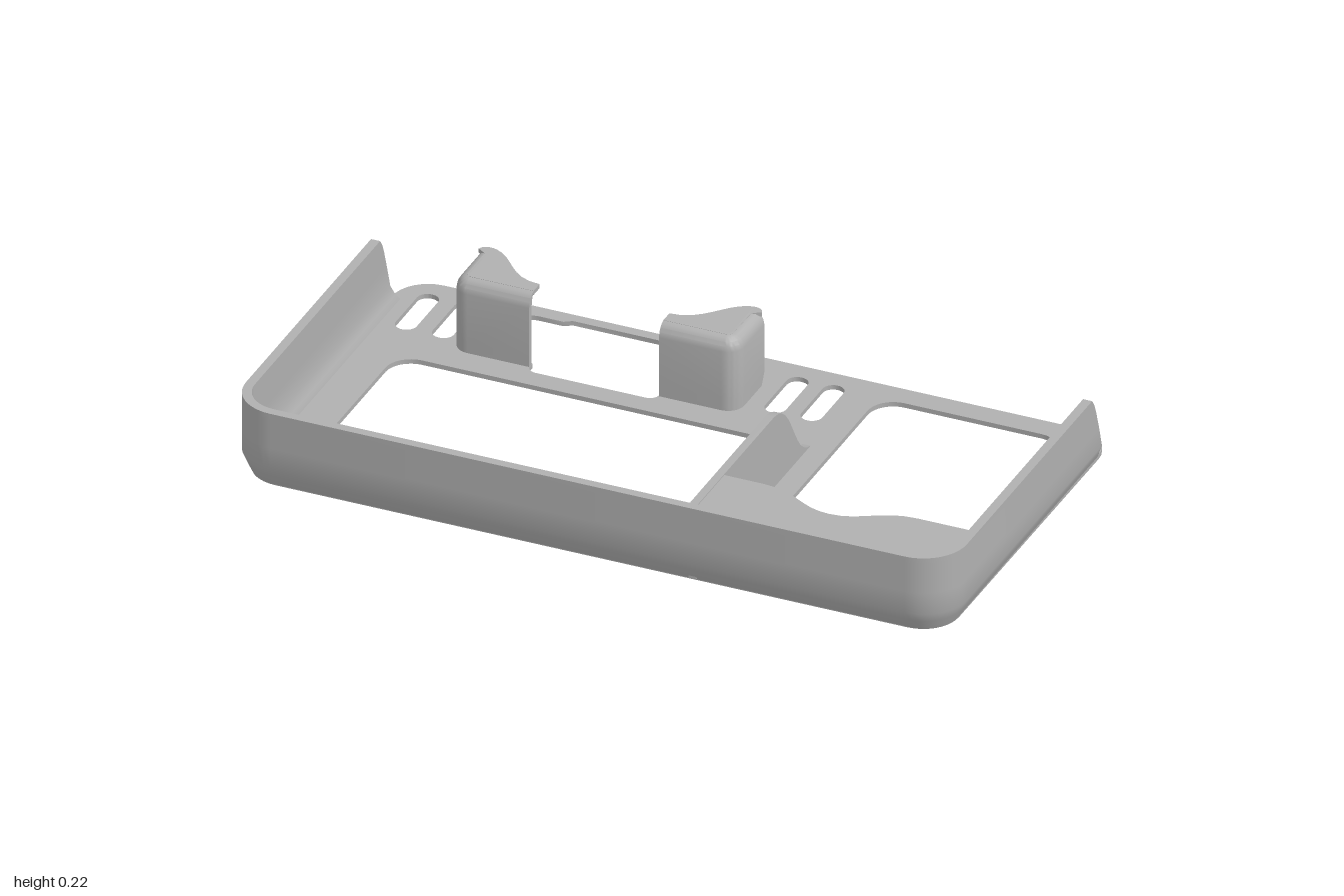
import * as THREE from 'three';
import { toCreasedNormals } from 'three/addons/utils/BufferGeometryUtils.js';

const grey = new THREE.MeshStandardMaterial({ color: 0xb0b0b0 });
grey.name = 'plain grey';

// closed outline with rounded corners; each point is [x, y, radius]
function rounded(points, Type = THREE.Shape) {
  const path = new Type();
  points.forEach(([x, y, r = 0], i) => {
    const p = new THREE.Vector2(x, y);
    const toward = (q, d) => new THREE.Vector2(q[0], q[1]).sub(p).setLength(d).add(p);
    const prev = points[(i + points.length - 1) % points.length];
    const next = points[(i + 1) % points.length];
    const a = toward(prev, r), b = toward(next, r);
    if (i === 0) path.moveTo(a.x, a.y); else path.lineTo(a.x, a.y);
    if (r > 0) {
      const c = toward(prev, r * 0.45), d = toward(next, r * 0.45);
      path.bezierCurveTo(c.x, c.y, d.x, d.y, b.x, b.y);
    }
  });
  path.closePath();
  return path;
}
const rect = (x0, x1, z0, z1, r, Type) =>
  rounded([[x0, z0, r], [x1, z0, r], [x1, z1, r], [x0, z1, r]], Type);

function mesh(name, geometry) {
  const m = new THREE.Mesh(geometry, grey);
  m.name = name;
  return m;
}

// horizontal plate from an x/z outline
function slab(shape, top, depth) {
  const g = new THREE.ExtrudeGeometry(shape, { depth, bevelEnabled: false, curveSegments: 8 });
  g.rotateX(Math.PI / 2).translate(0, top, 0);
  return toCreasedNormals(g, 0.6);
}

// quarter turn of stations [x, z, normalX, normalZ] about a corner centre
function corner(cx, cz, r, from, to) {
  return Array.from({ length: 11 }, (_, i) => {
    const a = from + (to - from) * i / 10;
    return [cx + r * Math.cos(a), cz + r * Math.sin(a), Math.cos(a), Math.sin(a)];
  });
}

// upright wall along stations; rows are [y, outer inset, inner inset, z at open end]
function wall(stations, rows, shapedEnds) {
  const last = stations.length - 1, n = rows.length, pos = [];
  const loops = stations.map(([x, z, nx, nz], i) => {
    const at = (row, inset) =>
      [x - nx * inset, row[0], shapedEnds.includes(i) ? row[3] : z - nz * inset];
    return [...rows.map(r => at(r, r[1])), ...[...rows].reverse().map(r => at(r, r[2]))];
  });
  const quad = (a, b, c, d) => pos.push(...a, ...b, ...c, ...a, ...c, ...d);
  for (let i = 0; i < last; i++)
    for (let j = 0; j < 2 * n; j++) {
      const k = (j + 1) % (2 * n);
      quad(loops[i][j], loops[i][k], loops[i + 1][k], loops[i + 1][j]);
    }
  for (let j = 0; j < n - 1; j++) {
    const cap = l => [l[j], l[2 * n - 1 - j], l[2 * n - 2 - j], l[j + 1]];
    quad(...cap(loops[0]));
    quad(...cap(loops[last]).reverse());
  }
  const g = new THREE.BufferGeometry();
  g.setAttribute('position', new THREE.Float32BufferAttribute(pos, 3));
  return toCreasedNormals(g, 0.6);
}

export function createModel() {
  const group = new THREE.Group();

  // base plate with windows, clip cut-out and strap slots
  const base = rounded([[-0.98, -0.545, 0.1], [0.98, -0.545, 0.1], [0.976, 0.521, 0.1], [-0.976, 0.521, 0.1]]);
  base.holes.push(
    rect(-0.85, 0.2, -0.18, 0.43, 0.07, THREE.Path),
    rect(0.355, 0.875, -0.48, 0.43, 0.07, THREE.Path),
    rounded([
      [-0.655, -0.502, 0.06], [-0.53, -0.502, 0], [-0.51, -0.515, 0], [-0.16, -0.515, 0],
      [-0.14, -0.502, 0], [-0.012, -0.502, 0.06], [-0.012, -0.28, 0.04], [-0.16, -0.28, 0],
      [-0.16, -0.24, 0.025], [-0.517, -0.24, 0.025], [-0.517, -0.28, 0], [-0.655, -0.28, 0.04],
    ], THREE.Path));
  for (const x of [-0.89, -0.787, 0.135, 0.235])
    base.holes.push(rect(x - 0.029, x + 0.029, -0.492, -0.302, 0.0285, THREE.Path));
  group.add(mesh('basePlate', slab(base, 0.013, 0.013)));

  // outer wall around the front and both sides, with a chamfered foot
  const half = Math.PI / 2;
  const rimPath = [
    [1, -0.43, 1, 0], ...corner(0.88, 0.425, 0.12, 0, half),
    ...corner(-0.88, 0.425, 0.12, half, Math.PI), [-1, -0.43, -1, 0],
  ];
  const rimRows = [
    [0, 0.025, 0.046, -0.45], [0.013, 0.019, 0.045, -0.438], [0.03, 0.0115, 0.037, -0.428],
    [0.057, 0, 0.026, -0.42], [0.12, 0, 0.025, -0.402], [0.18, 0, 0.025, -0.382],
    [0.205, 0, 0.025, -0.371], [0.222, 0, 0.025, -0.358],
  ];
  group.add(mesh('outerWall', wall(rimPath, rimRows, [0, rimPath.length - 1])));

  // divider with a swept-down back end
  const side = new THREE.Shape();
  side.moveTo(0.525, 0.005);
  side.lineTo(0.525, 0.22);
  side.lineTo(0.04, 0.22);
  side.bezierCurveTo(-0.08, 0.215, -0.08, 0.03, -0.19, 0.013);
  side.lineTo(-0.19, 0.005);
  const divider = new THREE.ExtrudeGeometry(side, { depth: 0.022, bevelEnabled: false });
  divider.rotateY(-half).translate(0.294, 0, 0);
  group.add(mesh('divider', toCreasedNormals(divider, 0.6)));

  // corner shelf with a wavy finger notch
  const shelf = new THREE.Shape();
  shelf.moveTo(0.285, 0.35);
  shelf.lineTo(0.4, 0.35);
  shelf.bezierCurveTo(0.5, 0.35, 0.53, 0.42, 0.615, 0.42);
  shelf.bezierCurveTo(0.7, 0.42, 0.73, 0.35, 0.83, 0.35);
  shelf.lineTo(0.978, 0.35);
  shelf.lineTo(0.978, 0.44);
  shelf.quadraticCurveTo(0.965, 0.51, 0.89, 0.523);
  shelf.lineTo(0.285, 0.523);
  group.add(mesh('frontShelf', slab(shelf, 0.217, 0.013)));

  // slim retaining ridge inside the front wall
  const ridge = new THREE.Shape();
  ridge.moveTo(-0.9, 0.523);
  ridge.lineTo(-0.9, 0.508);
  ridge.bezierCurveTo(-0.5, 0.508, -0.5, 0.495, -0.32, 0.495);
  ridge.bezierCurveTo(-0.14, 0.495, -0.14, 0.508, 0.275, 0.508);
  ridge.lineTo(0.275, 0.523);
  group.add(mesh('frontRidge', slab(ridge, 0.2, 0.016)));

  // pair of corner clips: wrapped wall plus a swept top lip
  const clipPath = [[0.397, -0.43, 1, 0], ...corner(0.352, -0.305, 0.045, 0, half), [0.18, -0.26, 0, 1]];
  const clipRows = [
    [0.005, 0, 0.016, -0.41], [0.025, 0, 0.016, -0.42], [0.045, 0, 0.016, -0.43],
    [0.185, 0, 0.016, -0.43], [0.2, 0.003, 0.018, -0.43], [0.21, 0.009, 0.022, -0.43],
    [0.218, 0.018, 0.028, -0.43], [0.222, 0.03, 0.034, -0.43],
  ];
  const lip = new THREE.Shape();
  lip.moveTo(0.18, -0.288);
  lip.lineTo(0.18, -0.325);
  lip.bezierCurveTo(0.27, -0.325, 0.29, -0.42, 0.35, -0.44);
  lip.quadraticCurveTo(0.385, -0.45, 0.393, -0.425);
  lip.lineTo(0.37, -0.41);
  lip.lineTo(0.368, -0.305);
  lip.quadraticCurveTo(0.368, -0.288, 0.352, -0.288);
  const clipWall = wall(clipPath, clipRows, [0]);
  const clipLip = slab(lip, 0.222, 0.012);
  for (const [name, s] of [['leftClip', 1], ['rightClip', -1]]) {
    const clip = new THREE.Group();
    clip.name = name;
    clip.add(mesh('clipWall', clipWall), mesh('clipLip', clipLip));
    clip.position.x = -0.338;
    clip.scale.x = s;
    group.add(clip);
  }
  return group;
}
